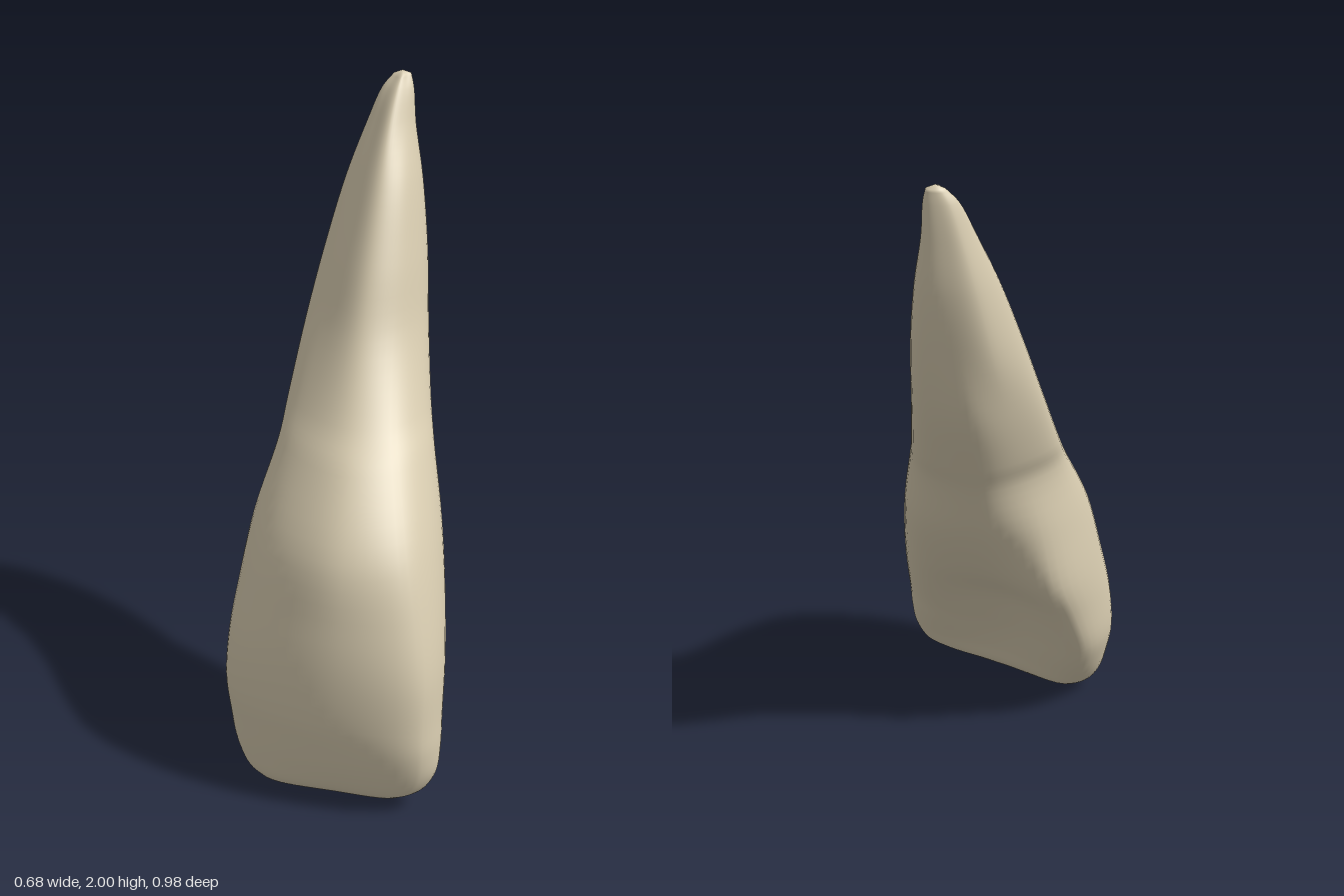
import * as THREE from 'three';

// Cross-sections from the biting edge to the root tip:
// y, xLeft, xRight, then z at front (left, middle, right) and back (right, middle, left)
const SECTIONS = [
  [0, -0.21, 0.24, 0.335, 0.385, 0.42, 0.37, 0.32, 0.27],
  [0.03, -0.26, 0.29, 0.33, 0.41, 0.44, 0.345, 0.295, 0.22],
  [0.1, -0.3, 0.325, 0.325, 0.435, 0.46, 0.32, 0.27, 0.16],
  [0.2, -0.325, 0.335, 0.325, 0.455, 0.475, 0.27, 0.225, 0.085],
  [0.3, -0.34, 0.335, 0.325, 0.467, 0.475, 0.22, 0.17, 0.025],
  [0.45, -0.33, 0.335, 0.32, 0.465, 0.46, 0.12, 0.075, -0.045],
  [0.6, -0.305, 0.325, 0.3, 0.445, 0.42, 0.02, -0.06, -0.115],
  [0.8, -0.265, 0.3, 0.26, 0.395, 0.345, -0.1, -0.18, -0.145],
  [1.0, -0.205, 0.26, 0.135, 0.24, 0.19, -0.18, -0.262, -0.18],
  [1.1, -0.19, 0.24, 0.04, 0.13, 0.09, -0.25, -0.315, -0.24],
  [1.3, -0.155, 0.215, -0.1, -0.02, -0.065, -0.36, -0.41, -0.345],
  [1.5, -0.11, 0.2, -0.195, -0.12, -0.16, -0.425, -0.457, -0.43],
  [1.7, -0.055, 0.175, -0.295, -0.23, -0.26, -0.465, -0.487, -0.47],
  [1.85, 0, 0.147, -0.375, -0.33, -0.36, -0.475, -0.487, -0.477],
  [1.95, 0.042, 0.137, -0.425, -0.4, -0.42, -0.475, -0.482, -0.475],
  [1.99, 0.075, 0.127, -0.45, -0.435, -0.45, -0.473, -0.477, -0.473],
];
const AROUND = 56, UP = 75;
const { lerp, smoothstep } = THREE.MathUtils;

// Smooth closed outline of one cross-section
function outline([y, xl, xr, fl, fm, fr, br, bm, bl]) {
  const w = xr - xl, xm = (xl + xr) / 2;
  const front = w * lerp(0.09, 0.2, smoothstep(y, 0.4, 1.3)); // corner insets
  const backLeft = w * lerp(0.12, 0.2, smoothstep(y, 0.2, 0.7));
  const backRight = w * 0.13;
  const tilt = 0.09 * Math.max(0, 1 - y / 0.3); // the biting edge rises to one side
  const pts = [
    [xl, (fl + bl) / 2], [xl + front, fl], [xm, fm], [xr - front, fr],
    [xr, (fr + br) / 2], [xr - backRight, br], [xm, bm], [xl + backLeft, bl],
  ].map(([x, z]) => new THREE.Vector3(x, y + tilt * (x + 0.2), z));
  const curve = new THREE.CatmullRomCurve3(pts, true);
  return Array.from({ length: AROUND }, (_, j) => curve.getPoint(j / AROUND));
}

// Skin the outlines into one smooth closed surface
function toothGeometry() {
  const rings = SECTIONS.map(outline);
  const columns = Array.from({ length: AROUND }, (_, j) =>
    new THREE.CatmullRomCurve3(rings.map((r) => r[j])));
  const pos = [], index = [];
  for (let i = 0; i <= UP; i++) {
    for (const c of columns) pos.push(...c.getPoint(i / UP).toArray());
  }
  for (let i = 0; i < UP; i++) {
    for (let j = 0; j < AROUND; j++) {
      const k = (j + 1) % AROUND;
      const a = i * AROUND + j, b = i * AROUND + k;
      index.push(a, b, b + AROUND, a, b + AROUND, a + AROUND);
    }
  }
  // end caps
  const centre = (ring) => ring.reduce((s, p) => s.add(p), new THREE.Vector3()).divideScalar(AROUND);
  const bottom = centre(rings[0]), top = centre(rings[rings.length - 1]);
  top.y = 2;
  const ib = pos.length / 3, it = ib + 1, last = UP * AROUND;
  pos.push(...bottom.toArray(), ...top.toArray());
  for (let j = 0; j < AROUND; j++) {
    const k = (j + 1) % AROUND;
    index.push(ib, k, j, it, last + j, last + k);
  }
  const geo = new THREE.BufferGeometry();
  geo.setAttribute('position', new THREE.Float32BufferAttribute(pos, 3));
  geo.setIndex(index);
  geo.computeVertexNormals();
  return geo;
}

export function createModel() {
  const group = new THREE.Group();
  group.name = 'incisorTooth';
  const ivory = new THREE.MeshStandardMaterial({ color: 0xd8ccb0 });
  ivory.name = 'ivory';
  const tooth = new THREE.Mesh(toothGeometry(), ivory);
  tooth.name = 'crownAndRoot';
  group.add(tooth);
  return group;
}
